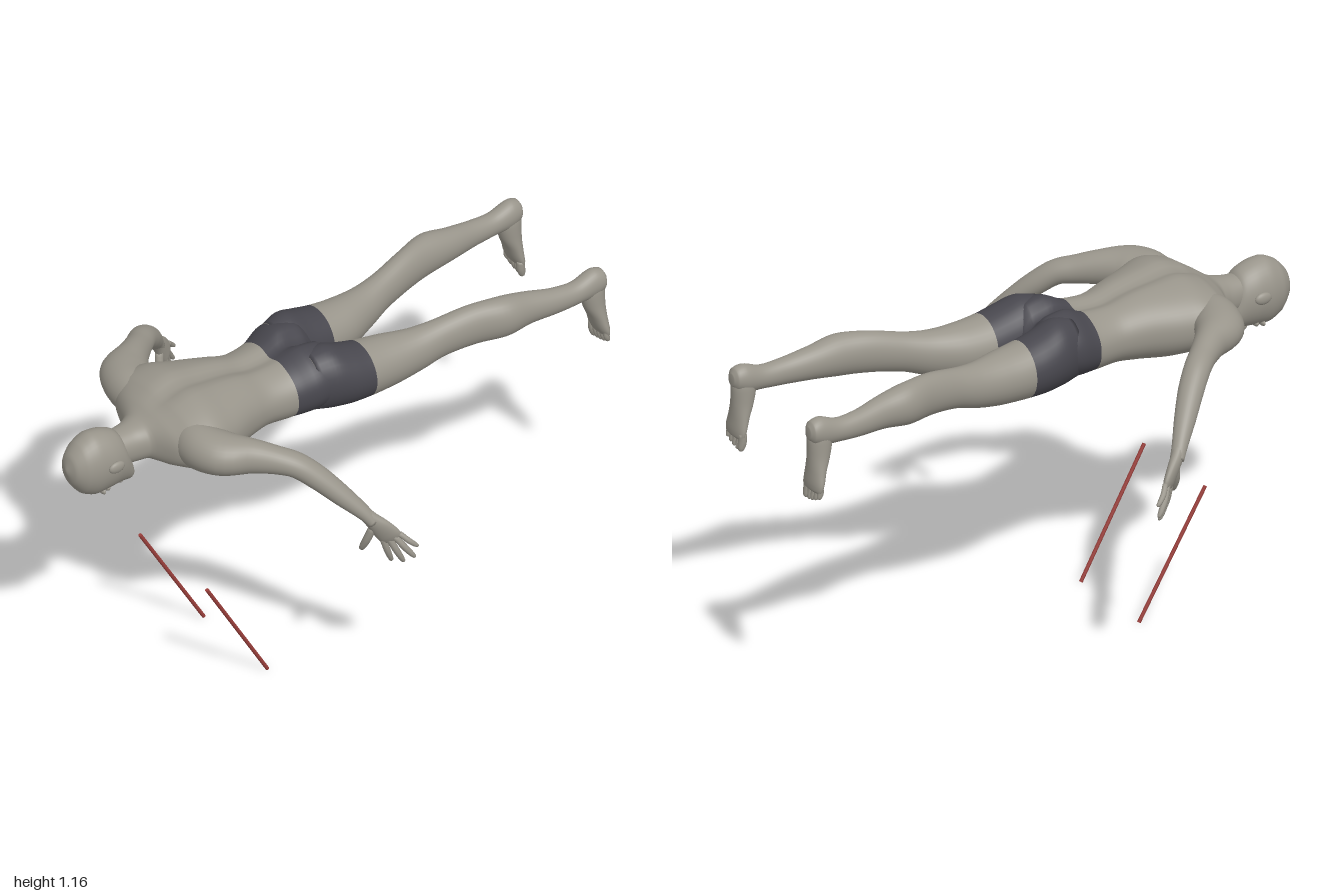
import * as THREE from 'three';

const V = (x, y, z) => new THREE.Vector3(x, y, z);
const mat = (name, color) => {
  const m = new THREE.MeshStandardMaterial({ color });
  m.name = name;
  return m;
};

// Smooth loft through keys [x, y, z, radius across, radius along ref].
// A fixed axis keeps the rings parallel; otherwise they follow the path.
function loft(name, keys, { mats, side = 1, ref = V(0, 1, 0), axis, seg = 5, n = 32, pow = 2, shape, inShorts }) {
  const path = new THREE.CatmullRomCurve3(keys.map(k => V(k[0] * side, k[1], k[2])));
  const radii = new THREE.CatmullRomCurve3(keys.map(k => V(k[3], k[4], 0)));
  const up0 = V(ref.x * side, ref.y, ref.z);
  const rows = (keys.length - 1) * seg;
  const pos = [], skinIdx = [], shortsIdx = [], centres = [];
  for (let i = 0; i <= rows; i++) {
    const c = path.getPoint(i / rows), r = radii.getPoint(i / rows);
    const t = axis || path.getTangent(i / rows);
    const s = up0.clone().cross(t).normalize(), u = t.clone().cross(s);
    centres.push(c);
    for (let j = 0; j < n; j++) {
      const a = j / n * Math.PI * 2, ca = Math.cos(a), sa = Math.sin(a);
      const p = c.clone()
        .addScaledVector(s, Math.sign(ca) * Math.abs(ca) ** (2 / pow) * r.x)
        .addScaledVector(u, Math.sign(sa) * Math.abs(sa) ** (2 / pow) * r.y);
      if (shape) shape(p, sa);
      pos.push(p.x, p.y, p.z);
    }
  }
  for (let i = 0; i < rows; i++) {
    const zMid = (centres[i].z + centres[i + 1].z) / 2;
    const list = inShorts && inShorts(zMid) ? shortsIdx : skinIdx;
    for (let j = 0; j < n; j++) {
      const a = i * n + j, b = i * n + (j + 1) % n;
      list.push(a, b, a + n, b, b + n, a + n);
    }
  }
  // End caps
  const first = pos.length / 3, last = first + 1, lastRow = rows * n;
  for (const c of [centres[0], centres[rows]]) pos.push(c.x, c.y, c.z);
  for (let j = 0; j < n; j++) {
    const k = (j + 1) % n;
    skinIdx.push(first, k, j, last, lastRow + j, lastRow + k);
  }
  const g = new THREE.BufferGeometry();
  g.setAttribute('position', new THREE.Float32BufferAttribute(pos, 3));
  g.setIndex([...skinIdx, ...shortsIdx]);
  g.addGroup(0, skinIdx.length, 0);
  if (shortsIdx.length) g.addGroup(skinIdx.length, shortsIdx.length, 1);
  g.computeVertexNormals();
  const mesh = new THREE.Mesh(g, mats);
  mesh.name = name;
  return mesh;
}

function ball(name, material, [x, y, z], [sx, sy, sz]) {
  const m = new THREE.Mesh(new THREE.SphereGeometry(1, 20, 14), material);
  m.name = name;
  m.position.set(x, y, z);
  m.scale.set(sx, sy, sz);
  return m;
}

// Rounded digit from base to tip, with an optional slight bend
function digit(name, base, tip, r, mats, side, bend = [0, 0, 0]) {
  const at = (t, k) => base.map((b, i) => b + (tip[i] - b) * t + bend[i] * Math.sin(t * Math.PI)).concat(r * k, r * k);
  return loft(name, [at(0, 1), at(0.45, 1.02), at(0.8, 0.85), at(0.95, 0.6), at(1, 0.15)],
    { mats, side, ref: V(0.75, -0.14, 0.63), seg: 3, n: 10 });
}

export function createModel() {
  const model = new THREE.Group();
  model.name = 'proneFigure';
  const skin = mat('skin', 0x99958b), cloth = mat('shortsCloth', 0x48474e), red = mat('redRod', 0x9a3f3b);
  const mats = [skin, cloth];
  const back = V(0, 0, -1);
  const inShorts = z => z < 0.18 && z > -0.1;

  // Neck, trunk and hips, with a spine furrow that deepens at the seat
  model.add(loft('torso', [
    [0, 1.005, 0.82, 0.055, 0.06], [0, 1.005, 0.75, 0.064, 0.066], [0, 1.012, 0.71, 0.085, 0.068],
    [0, 1.02, 0.67, 0.18, 0.085], [0, 1.03, 0.62, 0.25, 0.106], [0, 1.032, 0.55, 0.25, 0.127],
    [0, 1.022, 0.46, 0.215, 0.129], [0, 1.018, 0.36, 0.174, 0.118], [0, 1.011, 0.27, 0.153, 0.104],
    [0, 1.012, 0.18, 0.165, 0.108], [0, 1.03, 0.1, 0.19, 0.122], [0, 1.03, 0.03, 0.19, 0.112],
    [0, 1.02, -0.005, 0.14, 0.085], [0, 1.01, -0.02, 0.06, 0.05],
  ], {
    mats, axis: back, n: 64, pow: 2.2, inShorts,
    shape(p, sa) {
      const ss = THREE.MathUtils.smoothstep;
      const depth = 0.02 * (1 - ss(p.z, 0.58, 0.68)) + 0.03 * (1 - ss(p.z, 0.06, 0.16));
      if (sa > 0) p.y -= depth * sa * Math.exp(-((p.x / 0.035) ** 2));
    },
  }));

  // Head, face downwards
  const head = new THREE.Group();
  head.name = 'head';
  head.add(loft('skull', [
    [0, 0.995, 0.999, 0.006, 0.008], [0, 0.994, 0.985, 0.043, 0.054], [0, 0.99, 0.95, 0.07, 0.097],
    [0, 0.99, 0.9, 0.082, 0.118], [0, 0.988, 0.85, 0.082, 0.112], [0, 0.975, 0.8, 0.071, 0.098],
    [0, 0.93, 0.765, 0.053, 0.056], [0, 0.908, 0.748, 0.033, 0.028], [0, 0.905, 0.743, 0.008, 0.008],
  ], { mats, axis: back, n: 40 }));
  head.add(ball('nose', skin, [0, 0.878, 0.828], [0.014, 0.02, 0.017]));
  head.add(ball('noseBridge', skin, [0, 0.882, 0.85], [0.009, 0.012, 0.025]));
  head.add(ball('lips', skin, [0, 0.878, 0.79], [0.024, 0.012, 0.01]));
  head.add(ball('chin', skin, [0, 0.888, 0.762], [0.026, 0.017, 0.016]));
  for (const s of [1, -1]) {
    head.add(ball('ear', skin, [s * 0.085, 1.0, 0.855], [0.012, 0.021, 0.031]));
    head.add(ball('eyelid', skin, [s * 0.032, 0.89, 0.858], [0.016, 0.012, 0.009]));
    head.add(ball('brow', skin, [s * 0.032, 0.888, 0.88], [0.024, 0.012, 0.008]));
  }
  model.add(head);

  for (const side of [1, -1]) {
    const label = side > 0 ? 'left' : 'right';

    // Leg from hip to heel
    const leg = new THREE.Group();
    leg.name = label + 'Leg';
    leg.add(loft('thighAndCalf', [
      [0.1, 1.03, 0.1, 0.08, 0.105], [0.108, 1.03, 0.03, 0.098, 0.115], [0.115, 1.018, -0.03, 0.1, 0.107],
      [0.118, 1.008, -0.1, 0.097, 0.098], [0.125, 1.004, -0.2, 0.085, 0.09], [0.143, 1.012, -0.3, 0.064, 0.078],
      [0.163, 1.035, -0.4, 0.051, 0.07], [0.186, 1.052, -0.5, 0.051, 0.073], [0.212, 1.056, -0.6, 0.057, 0.073],
      [0.216, 1.052, -0.7, 0.048, 0.058], [0.228, 1.043, -0.8, 0.039, 0.046], [0.232, 1.042, -0.88, 0.036, 0.041],
      [0.232, 1.054, -0.95, 0.039, 0.051], [0.234, 1.058, -0.985, 0.034, 0.04], [0.234, 1.058, -0.998, 0.016, 0.02],
    ], { mats, side, axis: back, inShorts }));

    // Foot points down, sole facing back
    leg.add(loft('foot', [
      [0.232, 1.08, -0.955, 0.025, 0.03], [0.232, 1.03, -0.952, 0.037, 0.044], [0.233, 0.97, -0.957, 0.041, 0.038],
      [0.235, 0.92, -0.968, 0.048, 0.028], [0.237, 0.88, -0.976, 0.054, 0.022], [0.237, 0.858, -0.98, 0.051, 0.016],
      [0.237, 0.85, -0.98, 0.04, 0.008],
    ], { mats, side, axis: V(0, -1, 0), ref: V(0, 0, 1) }));
    for (let i = 0; i < 5; i++) {
      const x = 0.199 + i * 0.0195;
      leg.add(digit('toe', [x, 0.872, -0.977], [x + 0.001, 0.81 + i * i * 0.0014, -0.985],
        i ? 0.0105 : 0.0145, mats, side, [0, 0, 0.004]));
    }
    model.add(leg);

    // Arm swept out, back and down
    const arm = new THREE.Group();
    arm.name = label + 'Arm';
    arm.add(loft('upperArmAndForearm', [
      [0.12, 1.035, 0.6, 0.06, 0.075], [0.2, 1.04, 0.598, 0.076, 0.078], [0.272, 1.043, 0.565, 0.083, 0.07],
      [0.335, 1.037, 0.49, 0.055, 0.059], [0.385, 1.025, 0.43, 0.046, 0.048], [0.428, 1.01, 0.382, 0.045, 0.042],
      [0.473, 0.965, 0.33, 0.043, 0.04], [0.53, 0.897, 0.27, 0.036, 0.034], [0.582, 0.832, 0.216, 0.026, 0.024],
      [0.6, 0.8, 0.195, 0.024, 0.02],
    ], { mats, side }));

    // Open hand
    arm.add(loft('palm', [
      [0.578, 0.838, 0.22, 0.022, 0.022], [0.594, 0.81, 0.2, 0.027, 0.021], [0.61, 0.775, 0.173, 0.037, 0.019],
      [0.622, 0.742, 0.15, 0.041, 0.016], [0.627, 0.726, 0.14, 0.037, 0.012], [0.629, 0.721, 0.137, 0.022, 0.006],
    ], { mats, side, ref: V(0.75, -0.14, 0.63), n: 24 }));
    const digits = [
      ['index', [0.606, 0.735, 0.166], [0.608, 0.62, 0.127], 0.0115],
      ['middle', [0.619, 0.737, 0.152], [0.64, 0.622, 0.1], 0.0115],
      ['ring', [0.634, 0.741, 0.137], [0.672, 0.65, 0.078], 0.011],
      ['little', [0.645, 0.748, 0.122], [0.678, 0.695, 0.07], 0.0095],
      ['thumb', [0.594, 0.775, 0.193], [0.55, 0.668, 0.21], 0.014],
    ];
    for (const [n, base, tip, r] of digits) {
      arm.add(digit(n + (n === 'thumb' ? '' : 'Finger'), base, tip, r, mats, side, [0.005, 0, 0.003]));
    }
    model.add(arm);

    // Slanted rod below the figure
    const top = V(side * 0.186, 0.437, 0.566), foot = V(side * 0.177, 0.004, 0.316);
    const dir = top.clone().sub(foot);
    const rod = new THREE.Mesh(new THREE.CylinderGeometry(0.0065, 0.0065, dir.length(), 12), red);
    rod.name = label + 'Rod';
    rod.position.copy(top).add(foot).multiplyScalar(0.5);
    rod.quaternion.setFromUnitVectors(V(0, 1, 0), dir.normalize());
    model.add(rod);
  }
  return model;
}
